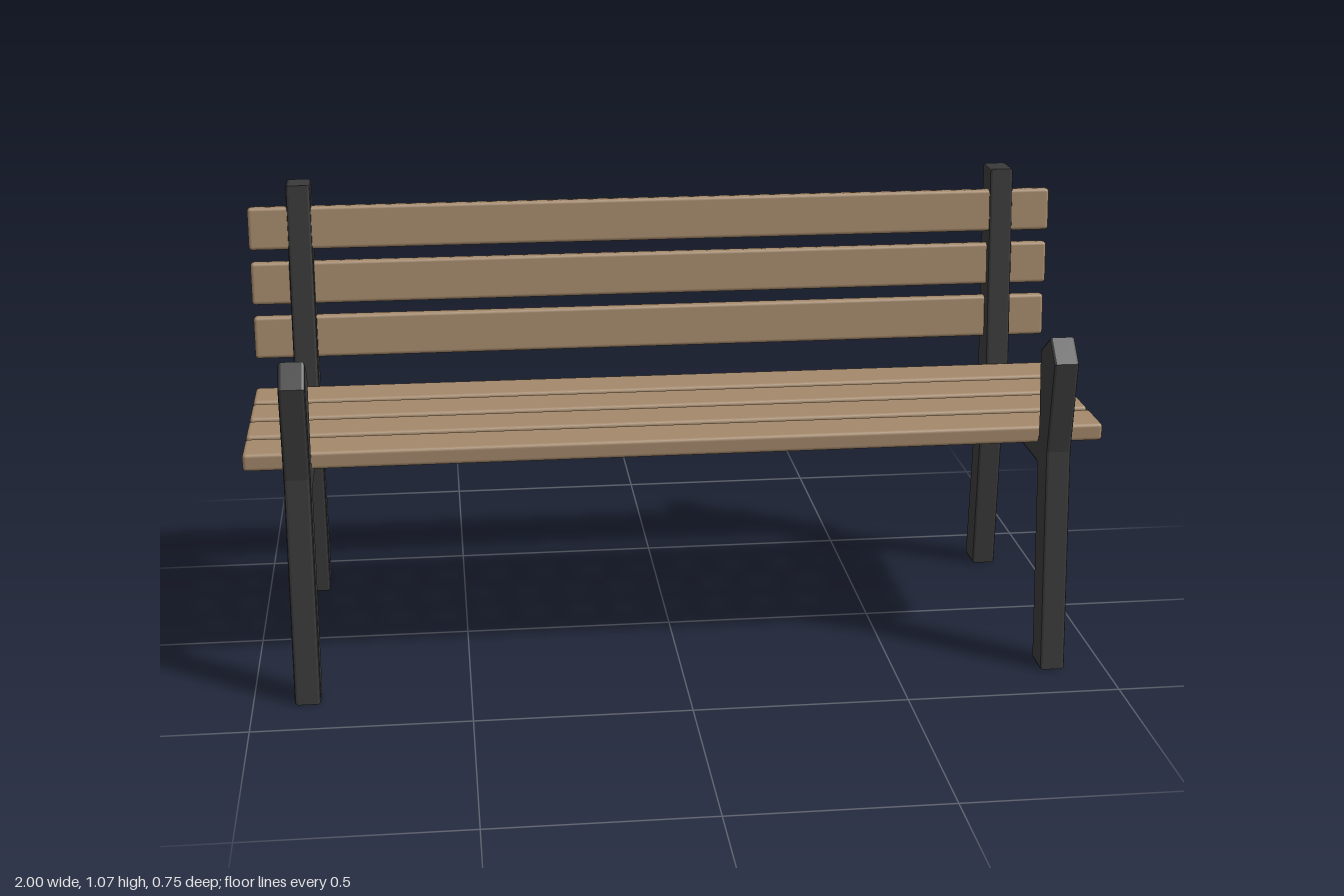
import * as THREE from 'three';
import { RoundedBoxGeometry } from 'three/addons/geometries/RoundedBoxGeometry.js';

const wood = new THREE.MeshStandardMaterial({ color: 0xa3886a });
wood.name = 'wood';
const iron = new THREE.MeshStandardMaterial({ color: 0x393939 });
iron.name = 'dark iron';

// Side outline of one end frame as (z, y): front leg with armrest tip, seat rail, back leg and post
const OUTLINE = [
  [0.375, 0], [0.325, 0.53], [0.35, 0.75], [0.30, 0.80], [0.23, 0.752],
  [0.256, 0.55], [-0.252, 0.55], [-0.30, 1.065], [-0.375, 1.065],
  [-0.336, 0.55], [-0.375, 0], [-0.30, 0], [-0.277, 0.47], [-0.269, 0.48],
  [0.247, 0.48], [0.255, 0.47], [0.302, 0],
];
const FRAME_WIDTH = 0.06;
const BEVEL = 0.007;

function frameGeometry() {
  const shape = new THREE.Shape(OUTLINE.map(([z, y]) => new THREE.Vector2(z, y)));
  const geometry = new THREE.ExtrudeGeometry(shape, {
    depth: FRAME_WIDTH - 2 * BEVEL,
    bevelThickness: BEVEL,
    bevelSize: BEVEL,
    bevelOffset: -BEVEL,
    bevelSegments: 2,
  });
  geometry.translate(0, 0, BEVEL - FRAME_WIDTH / 2);
  return geometry.rotateY(-Math.PI / 2);
}

function addSlat(group, name, geometry, y, z, tilt = 0) {
  const slat = new THREE.Mesh(geometry, wood);
  slat.name = name;
  slat.position.set(0, y, z);
  slat.rotation.x = tilt;
  group.add(slat);
}

export function createModel() {
  const bench = new THREE.Group();
  bench.name = 'bench';

  // End frames
  const frame = frameGeometry();
  for (const side of [-1, 1]) {
    const mesh = new THREE.Mesh(frame, iron);
    mesh.name = side > 0 ? 'leftFrame' : 'rightFrame';
    mesh.position.x = side * 0.875;
    bench.add(mesh);
  }

  // Seat slats, front to back
  const seatSlat = new RoundedBoxGeometry(2, 0.042, 0.112, 3, 0.009);
  for (let i = 0; i < 4; i++) {
    addSlat(bench, `seatSlat${i + 1}`, seatSlat, 0.55, 0.199 - i * 0.131);
  }

  // Backrest slats, leaning with the posts
  const backSlat = new RoundedBoxGeometry(2, 0.105, 0.032, 3, 0.009);
  for (let i = 0; i < 3; i++) {
    addSlat(bench, `backSlat${i + 1}`, backSlat, 0.683 + i * 0.138, -0.31, -0.095);
  }

  return bench;
}
